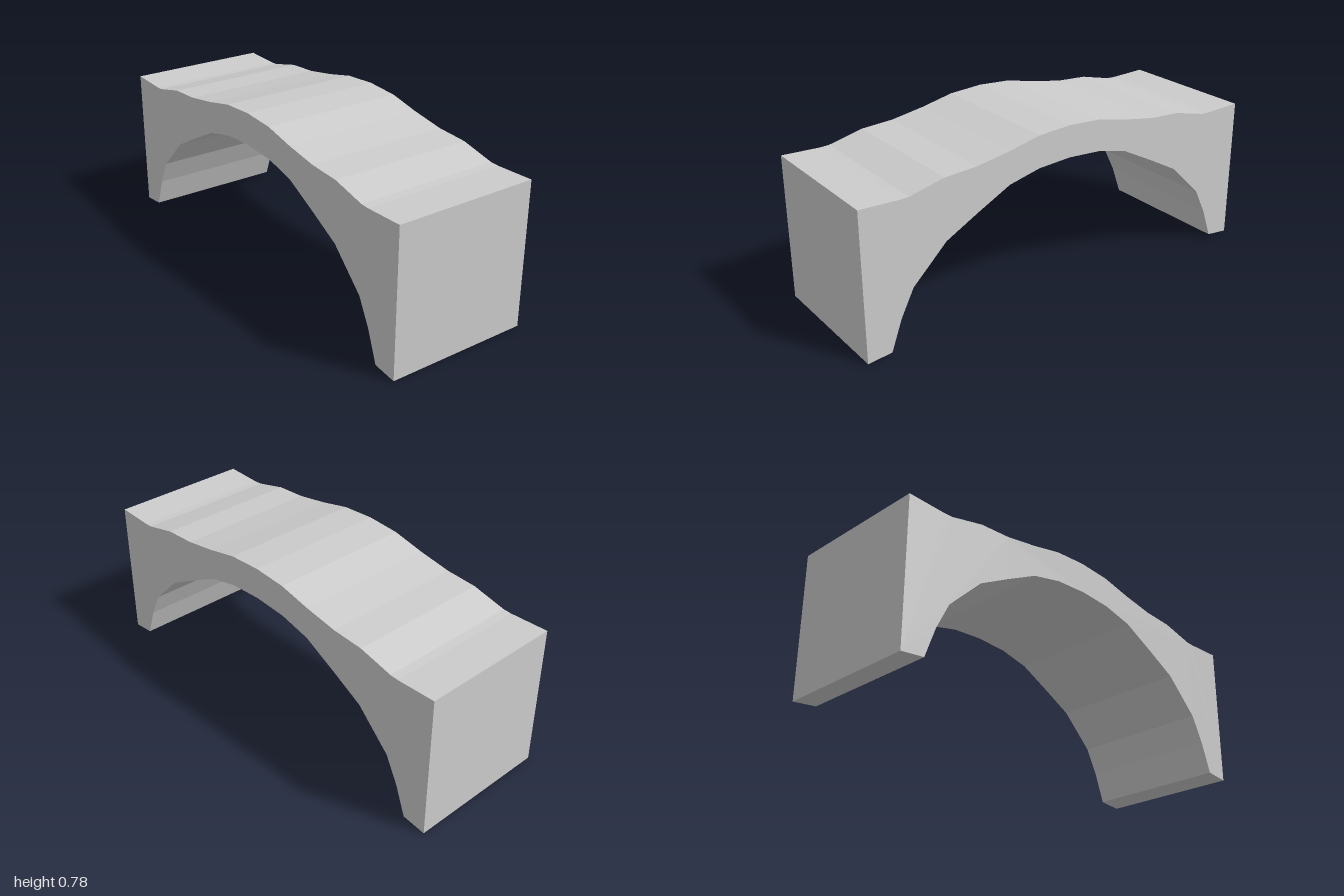
import * as THREE from 'three';

// Half profiles as [z, y], running outward from the crown
const deckProfile = [
  [0, 0.78], [0.16, 0.77], [0.31, 0.737], [0.47, 0.71], [0.62, 0.701],
  [0.78, 0.663], [0.82, 0.661], [1, 0.667],
];
const archProfile = [
  [0, 0.635], [0.16, 0.625], [0.31, 0.59], [0.47, 0.508], [0.62, 0.427],
  [0.78, 0.27], [0.84, 0.15], [0.89, 0.012], [1, 0],
];
const width = 0.666;

// Full symmetric curve from -z to +z
function mirrored(half) {
  const back = half.slice(1).reverse().map(([z, y]) => [-z, y]);
  return [...back, ...half].map(([z, y]) => new THREE.Vector2(z, y));
}

export function createModel() {
  const stone = new THREE.MeshStandardMaterial({ color: 0xcccccc });
  stone.name = 'stone grey';

  // Side outline: under the arch, then back over the deck
  const outline = new THREE.Shape([...mirrored(archProfile), ...mirrored(deckProfile).reverse()]);
  const geometry = new THREE.ExtrudeGeometry(outline, { depth: width, bevelEnabled: false });
  geometry.translate(0, 0, -width / 2);
  geometry.rotateY(-Math.PI / 2);

  const bridge = new THREE.Mesh(geometry, stone);
  bridge.name = 'archedBridge';

  const model = new THREE.Group();
  model.name = 'bridge';
  model.add(bridge);
  return model;
}
